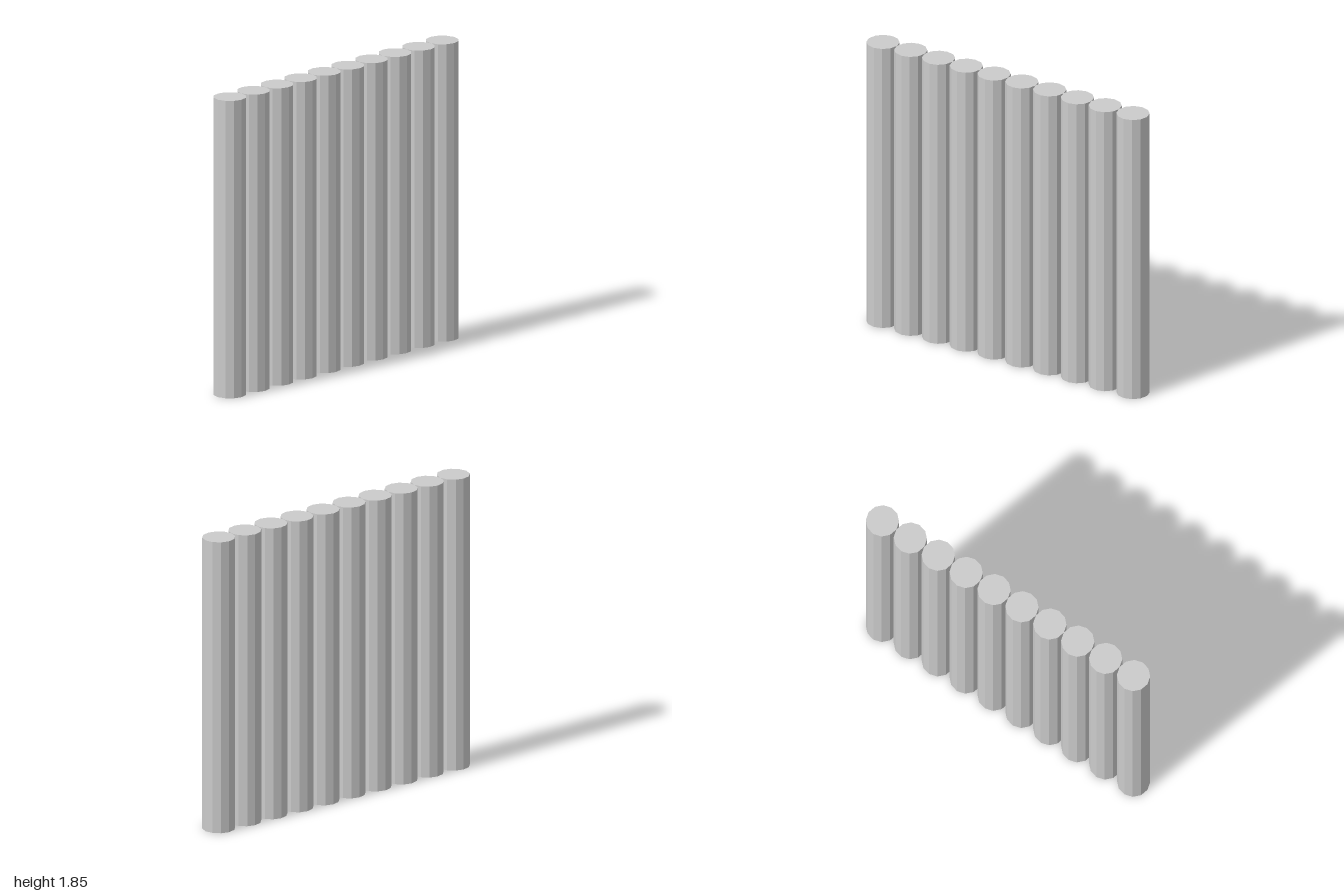
import * as THREE from 'three';

const COUNT = 10, RADIUS = 0.1, HEIGHT = 1.85, SIDES = 12;

export function createModel() {
  const group = new THREE.Group();
  group.name = 'postWall';
  const material = new THREE.MeshStandardMaterial({
    color: 0xcccccc, flatShading: true, side: THREE.DoubleSide,
  });

  // Hollow post: open at the bottom, closed by a disc at the top
  const shaftGeometry = new THREE.CylinderGeometry(RADIUS, RADIUS, HEIGHT, SIDES, 1, true);
  shaftGeometry.translate(0, HEIGHT / 2, 0);
  const capGeometry = new THREE.CircleGeometry(RADIUS, SIDES);
  capGeometry.rotateX(-Math.PI / 2).translate(0, HEIGHT, 0);

  // Row of touching posts from back to front
  for (let i = 0; i < COUNT; i++) {
    const post = new THREE.Group();
    post.name = `post${i + 1}`;
    const shaft = new THREE.Mesh(shaftGeometry, material);
    shaft.name = 'shaft';
    const cap = new THREE.Mesh(capGeometry, material);
    cap.name = 'topCap';
    post.add(shaft, cap);
    post.position.z = (i - (COUNT - 1) / 2) * 2 * RADIUS;
    group.add(post);
  }
  return group;
}
